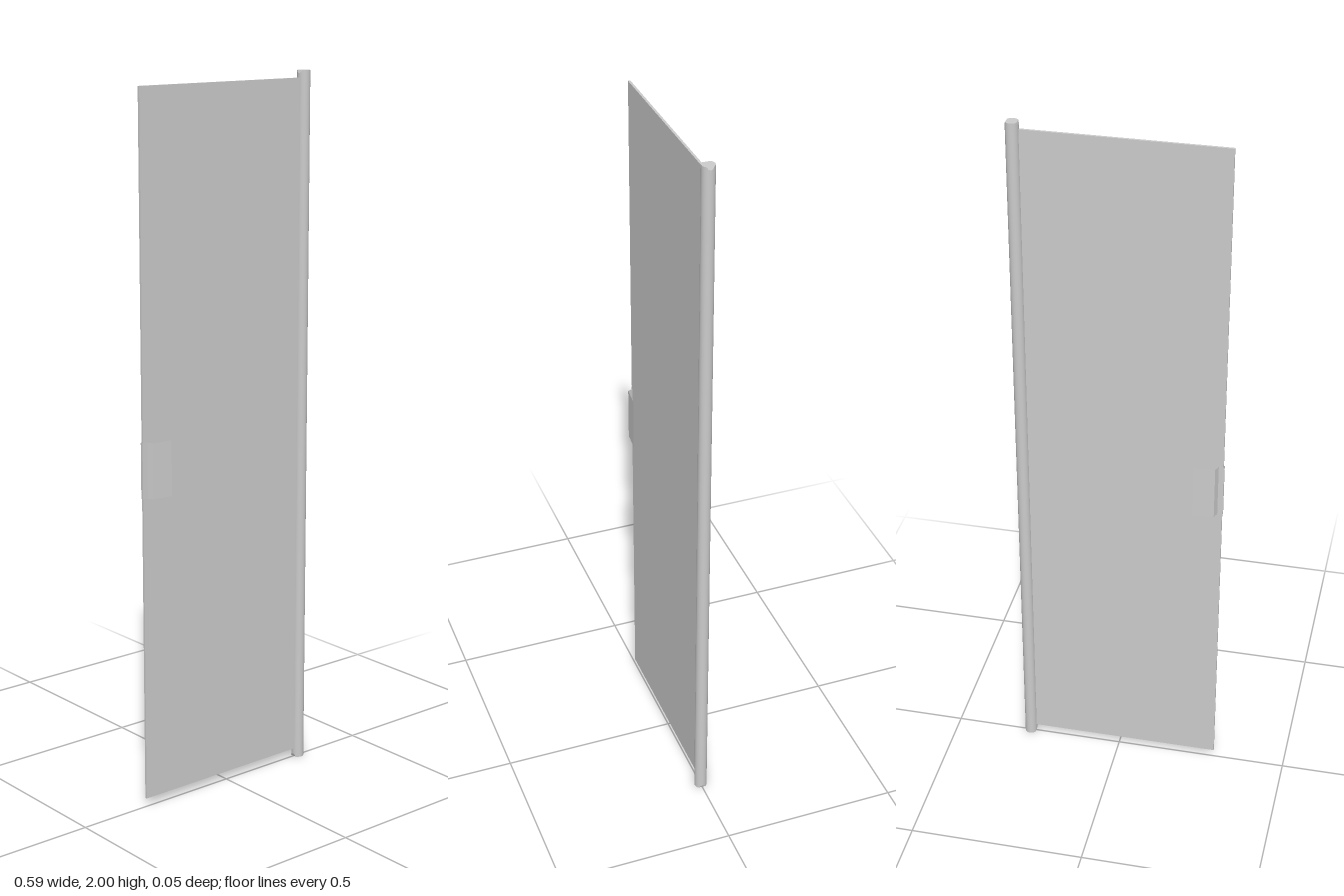
import * as THREE from 'three';
import { toCreasedNormals } from 'three/addons/utils/BufferGeometryUtils.js';

const POLE_X = 0.275, R = 0.018, SIDES = 20;

// Height lost at the two bevelled sides of a pole end
const bevelDrop = (x) => Math.max(0, Math.abs(x) - R * 0.81) * 2.5;

// Round pole end, built as strips across z with both x sides sloping away
function poleCap() {
  const g = new THREE.PlaneGeometry(1, 1, SIDES / 2, 1);
  const p = g.attributes.position;
  for (let i = 0; i < p.count; i++) {
    const a = Math.PI * (0.5 - p.getX(i));
    const x = R * Math.cos(a);
    p.setXYZ(i, x, 1 - bevelDrop(x), -Math.sign(p.getY(i)) * R * Math.sin(a));
  }
  return toCreasedNormals(g, 0.4);
}

// Pole wall, trimmed to meet the bevelled ends
function poleWall() {
  const g = new THREE.CylinderGeometry(R, R, 2, SIDES, 1, true);
  const p = g.attributes.position;
  for (let i = 0; i < p.count; i++) {
    const y = p.getY(i);
    p.setY(i, y - Math.sign(y) * bevelDrop(p.getX(i)));
  }
  return g;
}

// Thin sheet folded along a profile of [x, z] points, between two heights
function foldedSheet(profile, y0, y1) {
  const g = new THREE.PlaneGeometry(1, 1, profile.length - 1, 1);
  const p = g.attributes.position;
  for (let i = 0; i < p.count; i++) {
    const [x, z] = profile[i % profile.length];
    p.setXYZ(i, x, i < profile.length ? y1 : y0, z);
  }
  return toCreasedNormals(g, 0.1);
}

export function createModel() {
  const model = new THREE.Group();
  const grey = new THREE.MeshStandardMaterial({ color: 0xcccccc });
  const sheetGrey = new THREE.MeshStandardMaterial({ color: 0xcccccc, side: THREE.DoubleSide });
  const add = (parent, name, geometry, material = grey) => {
    const mesh = new THREE.Mesh(geometry, material);
    mesh.name = name;
    parent.add(mesh);
    return mesh;
  };

  // Hinge pole
  const pole = new THREE.Group();
  pole.name = 'hingePole';
  pole.position.set(POLE_X, 1, 0);
  add(pole, 'poleWall', poleWall());
  const cap = poleCap();
  add(pole, 'poleTop', cap);
  add(pole, 'poleBottom', cap).rotation.x = Math.PI;
  model.add(pole);

  // Door panel
  const x0 = -0.291, x1 = 0.262, y0 = 0.025, y1 = 1.98;
  add(model, 'doorPanel', new THREE.BoxGeometry(x1 - x0, y1 - y0, 0.0065))
    .position.set((x0 + x1) / 2, (y0 + y1) / 2, 0);

  // Folded handle clipped over the free edge, flaring out on both faces
  const half = [[-0.293, 0.004], [-0.278, 0.0052], [-0.271, 0.021], [-0.2125, 0.0264]];
  const profile = [...half.map(([x, z]) => [x, -z]).reverse(), ...half];
  add(model, 'handle', foldedSheet(profile, 0.89, 1.045), sheetGrey);

  return model;
}
